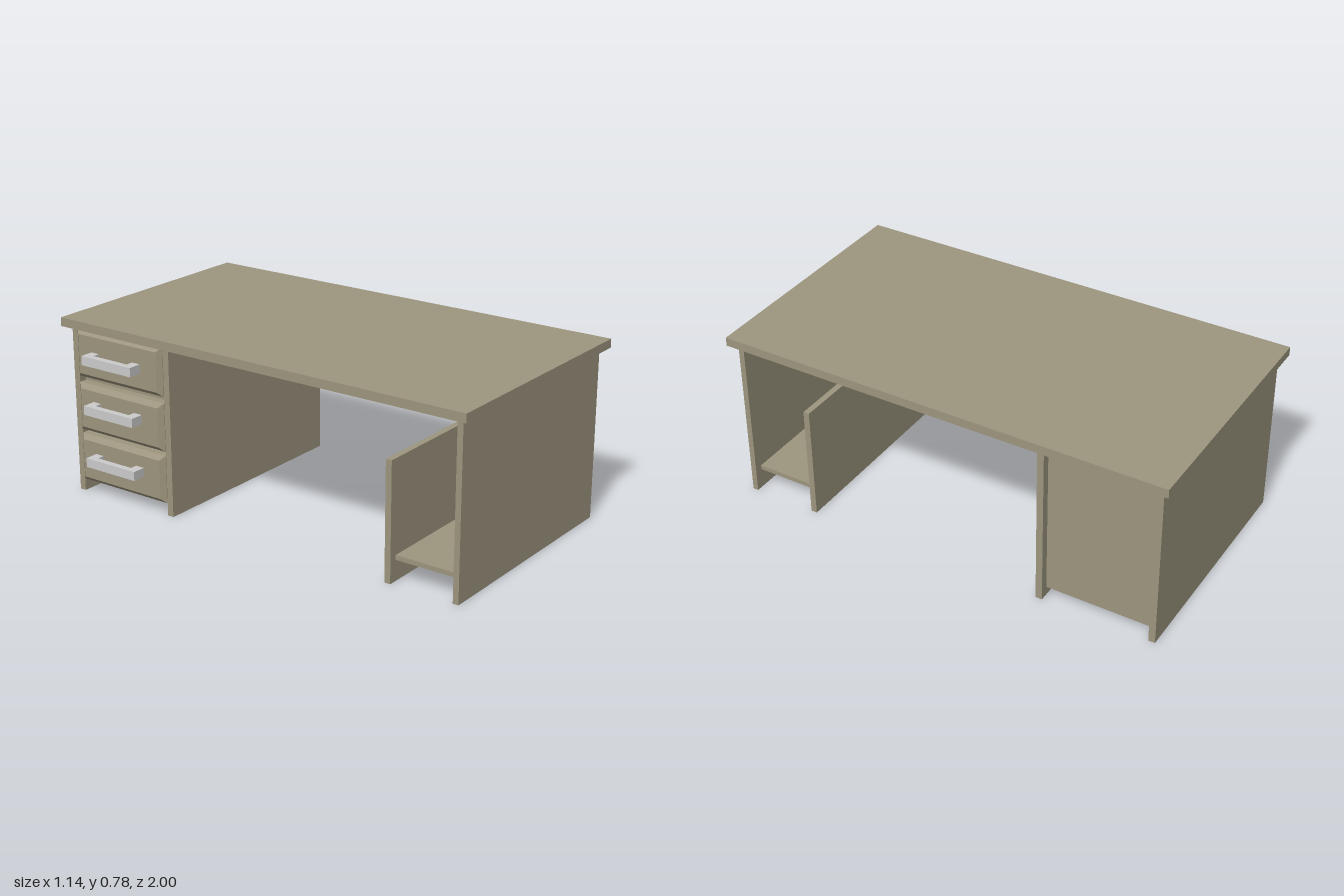
import * as THREE from 'three';

const wood = new THREE.MeshStandardMaterial({ color: 0x9d957e, flatShading: true });
const metal = new THREE.MeshStandardMaterial({ color: 0xcccccc, flatShading: true });

// Box given by its minimum and maximum on each axis
function box(name, [x0, x1], [y0, y1], [z0, z1], material = wood) {
  const mesh = new THREE.Mesh(new THREE.BoxGeometry(x1 - x0, y1 - y0, z1 - z0), material);
  mesh.position.set((x0 + x1) / 2, (y0 + y1) / 2, (z0 + z1) / 2);
  mesh.name = name;
  return mesh;
}

// Raised drawer face: the outer (-x) side of a box is drawn in to bevel all four edges
function drawerFace(y0, y1, z0, z1, bevel) {
  const mesh = box('drawerFace', [-0.515, -0.495], [y0, y1], [z0, z1]);
  const p = mesh.geometry.attributes.position;
  for (let i = 0; i < p.count; i++) {
    if (p.getX(i) > 0) continue;
    p.setY(i, p.getY(i) - Math.sign(p.getY(i)) * bevel);
    p.setZ(i, p.getZ(i) - Math.sign(p.getZ(i)) * bevel);
  }
  mesh.geometry.computeVertexNormals();
  return mesh;
}

// U-shaped pull: two posts and a bar
function handle(y) {
  const group = new THREE.Group();
  group.name = 'handle';
  const ys = [y - 0.02, y + 0.02];
  group.add(
    box('handleBar', [-0.575, -0.547], ys, [-0.845, -0.575], metal),
    box('handlePost', [-0.547, -0.514], ys, [-0.845, -0.803], metal),
    box('handlePost', [-0.547, -0.514], ys, [-0.617, -0.575], metal)
  );
  return group;
}

export function createModel() {
  const desk = new THREE.Group();
  desk.name = 'desk';
  const depth = [-0.495, 0.535];
  const inset = [-0.46, 0.5];

  desk.add(box('desktop', [-0.528, 0.57], [0.74, 0.778], [-1, 1]));

  // Upright panels
  desk.add(
    box('endPanel', depth, [0, 0.74], [0.943, 0.968]),
    box('lowPanel', depth, [0, 0.51], [0.633, 0.66]),
    box('cabinetInnerPanel', depth, [0, 0.74], [-0.465, -0.436]),
    box('cabinetOuterPanel', depth, [0, 0.74], [-0.967, -0.938])
  );

  // Shelf joining the end panel and the low panel
  desk.add(box('shelf', inset, [0.09, 0.11], [0.66, 0.943]));

  // Cabinet body with three drawers
  desk.add(box('cabinetBody', inset, [0.04, 0.74], [-0.938, -0.465]));
  const drawers = [[0.055, 0.267, 0.175], [0.285, 0.497, 0.41], [0.525, 0.738, 0.63]];
  for (const [y0, y1, handleY] of drawers) {
    const drawer = new THREE.Group();
    drawer.name = 'drawer';
    drawer.add(
      box('drawerFront', [-0.495, -0.46], [y0, y1], [-0.936, -0.467]),
      drawerFace(y0, y1, -0.936, -0.467, 0.02),
      handle(handleY)
    );
    desk.add(drawer);
  }
  return desk;
}
